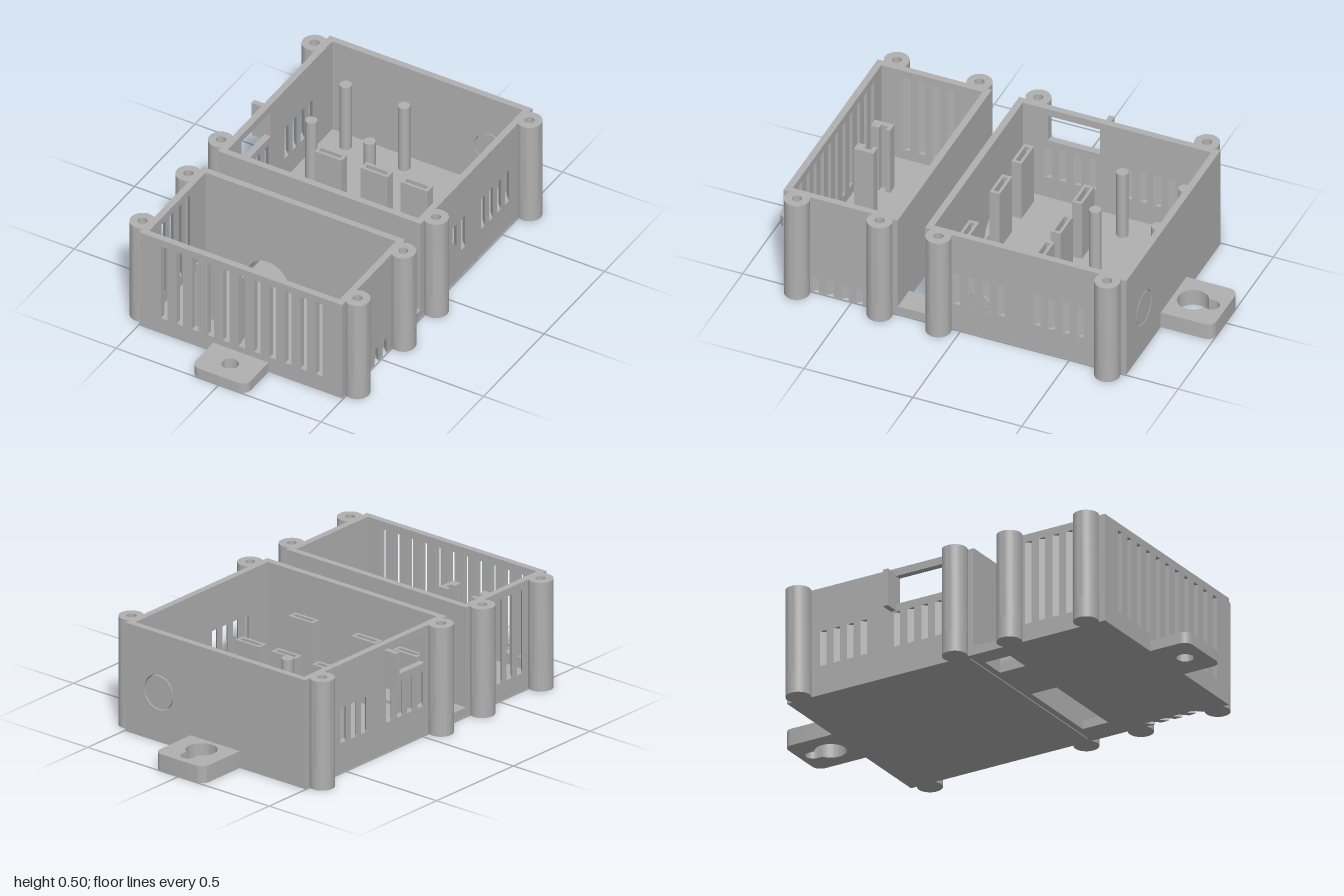
import * as THREE from 'three';
import { toCreasedNormals } from 'three/addons/utils/BufferGeometryUtils.js';

const H = 0.495, T = 0.03, X = 0.495;
const ARCH = { x: -0.16, y: 0.04, inner: 0.1, outer: 0.125 };

function rectPath(a, b, c, d, P = THREE.Path) {
  return new P([[a, c], [b, c], [b, d], [a, d]].map(p => new THREE.Vector2(...p)));
}
function circlePath(x, y, r) {
  return new THREE.Path().absarc(x, y, r, 0, Math.PI * 2, true);
}
function archPath(r, P = THREE.Path) {
  const s = new P();
  s.moveTo(ARCH.x + r, ARCH.y);
  s.absarc(ARCH.x, ARCH.y, r, 0, Math.PI, false);
  return s;
}
function extrude(shape, depth) {
  return new THREE.ExtrudeGeometry(shape, { depth, bevelEnabled: false, curveSegments: 20 });
}

export function createModel() {
  const model = new THREE.Group();
  const plastic = new THREE.MeshStandardMaterial({ color: 0xb0b0b0 });
  plastic.name = 'grey plastic';

  function add(name, geometry, x = 0, y = 0, z = 0) {
    const mesh = new THREE.Mesh(geometry, plastic);
    mesh.name = name;
    mesh.position.set(x, y, z);
    model.add(mesh);
    return mesh;
  }
  function block(name, x0, x1, y0, y1, z0, z1) {
    return add(name, new THREE.BoxGeometry(x1 - x0, y1 - y0, z1 - z0),
      (x0 + x1) / 2, (y0 + y1) / 2, (z0 + z1) / 2);
  }
  // wall running along x
  function crossWall(name, z, holes) {
    const shape = rectPath(-X + T, X - T, 0, H, THREE.Shape);
    shape.holes = holes;
    add(name, toCreasedNormals(extrude(shape, T), 0.6), 0, 0, z);
  }
  // wall running along z; openings below slantBelow are cut at a slant through it
  function sideWall(name, side, z0, z1, holes, slantBelow, notches = []) {
    const pts = [[z0, 0]];
    for (const n of notches) pts.push([n - 0.016, 0], [n - 0.016, 0.077], [n + 0.016, 0.077], [n + 0.016, 0]);
    pts.push([z1, 0], [z1, H], [z0, H]);
    const shape = new THREE.Shape(pts.map(p => new THREE.Vector2(...p)));
    shape.holes = holes;
    const g = extrude(shape, T), p = g.attributes.position;
    for (let i = 0; i < p.count; i++) {
      const u = p.getX(i);
      if (p.getZ(i) > T / 2 && u > z0 + 0.01 && u < z1 - 0.01 && p.getY(i) < slantBelow) p.setX(i, u - T);
    }
    g.computeVertexNormals();
    g.rotateY(-Math.PI / 2);
    add(name, g, side > 0 ? X : -X + T);
  }
  const slots = (centres, y0, y1) => centres.map(c => rectPath(c - 0.016, c + 0.016, y0, y1));

  // floors of the two boxes
  block('rearFloor', -X + T, X - T, 0, T, -0.73, 0.13);
  block('frontFloor', -X + T, X - T, 0, T, 0.32, 0.785);

  // rear box walls
  const rearVents = [-0.55, -0.483, -0.416, -0.35, -0.185, -0.116, -0.048, 0.02];
  sideWall('rearRightWall', -1, -0.76, 0.165,
    [...slots(rearVents, 0.135, 0.295), rectPath(-0.22, 0.02, 0.33, 0.46)], 0.3);
  sideWall('rearLeftWall', 1, -0.76, 0.165, slots(rearVents, 0.135, 0.295), 0.3);
  crossWall('rearBackWall', -0.76, [circlePath(0.31, 0.225, 0.08)]);
  crossWall('rearInnerWall', 0.135, [archPath(ARCH.inner)]);

  // round knockouts
  const knockout = new THREE.CylinderGeometry(0.075, 0.075, T, 32).rotateX(Math.PI / 2);
  add('backKnockout', knockout, 0.31, 0.225, -0.745);
  for (const s of [-1, 1]) block('knockoutTab', 0.31 + s * 0.077 - 0.007, 0.31 + s * 0.077 + 0.007, 0.215, 0.235, -0.755, -0.735);
  add('sideKnockout', new THREE.CylinderGeometry(0.052, 0.052, 0.012, 32).rotateZ(Math.PI / 2), 0.49, 0.165, -0.08);

  // front box walls
  const frontVents = [0.465, 0.533, 0.6, 0.668];
  sideWall('frontRightWall', -1, 0.29, 0.815, slots(frontVents, 0.08, 0.46), 0.47);
  sideWall('frontLeftWall', 1, 0.29, 0.815, [], 0.1, frontVents);
  crossWall('frontInnerWall', 0.29, [archPath(ARCH.inner)]);
  const grille = Array.from({ length: 11 }, (_, i) => -0.375 + i * 0.0758);
  crossWall('frontGrilleWall', 0.785, slots(grille, 0.08, 0.46));

  // screw posts with blind holes
  const ring = new THREE.Shape().absarc(0, 0, 0.055, 0, Math.PI * 2);
  ring.holes.push(circlePath(0, 0, 0.021));
  const postTop = toCreasedNormals(extrude(ring, H - 0.1).rotateX(-Math.PI / 2), 0.6);
  const postBase = new THREE.CylinderGeometry(0.055, 0.055, 0.1, 40);
  for (const x of [-0.525, 0.525]) for (const z of [-0.685, 0.09, 0.36, 0.74]) {
    add('screwPost', postTop, x, 0.1, z);
    add('screwPostBase', postBase, x, 0.05, z);
  }

  // strips and hollow cable arch joining the boxes
  for (const [x0, x1] of [[-0.495, -0.405], [-0.285, -0.035], [0.375, 0.495]])
    block('joiningStrip', x0, x1, 0, 0.04, 0.165, 0.29);
  const arch = new THREE.Shape();
  arch.moveTo(ARCH.x + ARCH.outer, ARCH.y);
  arch.absarc(ARCH.x, ARCH.y, ARCH.outer, 0, Math.PI, false);
  arch.lineTo(ARCH.x - ARCH.inner, ARCH.y);
  arch.absarc(ARCH.x, ARCH.y, ARCH.inner, Math.PI, 0, true);
  add('cableArch', toCreasedNormals(extrude(arch, 0.125), 0.6), 0, 0, 0.165);

  // mounting tabs, drawn outward from the box along +y
  function tab(name, length, height, hole) {
    const w = 0.135, r = 0.04, s = new THREE.Shape();
    s.moveTo(-w, 0);
    s.lineTo(w, 0);
    s.lineTo(w, length - r);
    s.absarc(w - r, length - r, r, 0, Math.PI / 2, false);
    s.absarc(-w + r, length - r, r, Math.PI / 2, Math.PI, false);
    s.holes.push(hole);
    return add(name, toCreasedNormals(extrude(s, height).rotateX(-Math.PI / 2), 0.6));
  }
  const keyhole = new THREE.Path();
  const a = Math.acos(0.032 / 0.068);
  keyhole.absarc(0, 0.09, 0.068, Math.PI - a, Math.PI * 2 + a, false);
  keyhole.absarc(0, 0.178, 0.032, 0, Math.PI, false);
  tab('rearMountingTab', 0.24, 0.077, keyhole).position.z = -0.76;
  const frontTab = tab('frontMountingTab', 0.185, 0.05, circlePath(0, 0.09, 0.037));
  frontTab.rotation.y = Math.PI;
  frontTab.position.z = 0.815;

  // board standoffs
  const pin = new THREE.CylinderGeometry(0.026, 0.026, 0.34, 24);
  for (const x of [-0.355, -0.07]) for (const z of [-0.655, -0.37]) add('standoff', pin, x, 0.19, z);

  // slotted support blocks
  const rim = rectPath(-0.066, 0.066, -0.023, 0.023, THREE.Shape);
  rim.holes.push(rectPath(-0.052, 0.052, -0.01, 0.01));
  const rimGeometry = extrude(rim, 0.1).rotateX(-Math.PI / 2);
  for (const [x, z] of [[-0.195, -0.26], [0.03, -0.26], [0.225, -0.26], [-0.35, 0.085], [-0.12, 0.085], [0.225, 0.085]]) {
    block('supportBlock', x - 0.066, x + 0.066, 0.02, 0.22, z - 0.023, z + 0.023);
    add('supportRim', rimGeometry, x, 0.22, z);
  }

  // facing grooved board guides in the front box
  for (const s of [-1, 1]) {
    const c = -0.16;
    const guide = new THREE.Shape([[0.065, -0.73], [0.11, -0.73], [0.11, -0.64], [0.065, -0.64],
      [0.065, -0.66], [0.088, -0.66], [0.088, -0.69], [0.065, -0.69]]
      .map(([x, y]) => new THREE.Vector2(c + s * x, y)));
    add('boardGuide', extrude(guide, 0.34).rotateX(-Math.PI / 2), 0, 0.02, 0);
  }

  // hook plate beside the side window
  block('hookPlate', -0.56, -0.48, 0.3, 0.47, -0.245, -0.22);

  return model;
}
